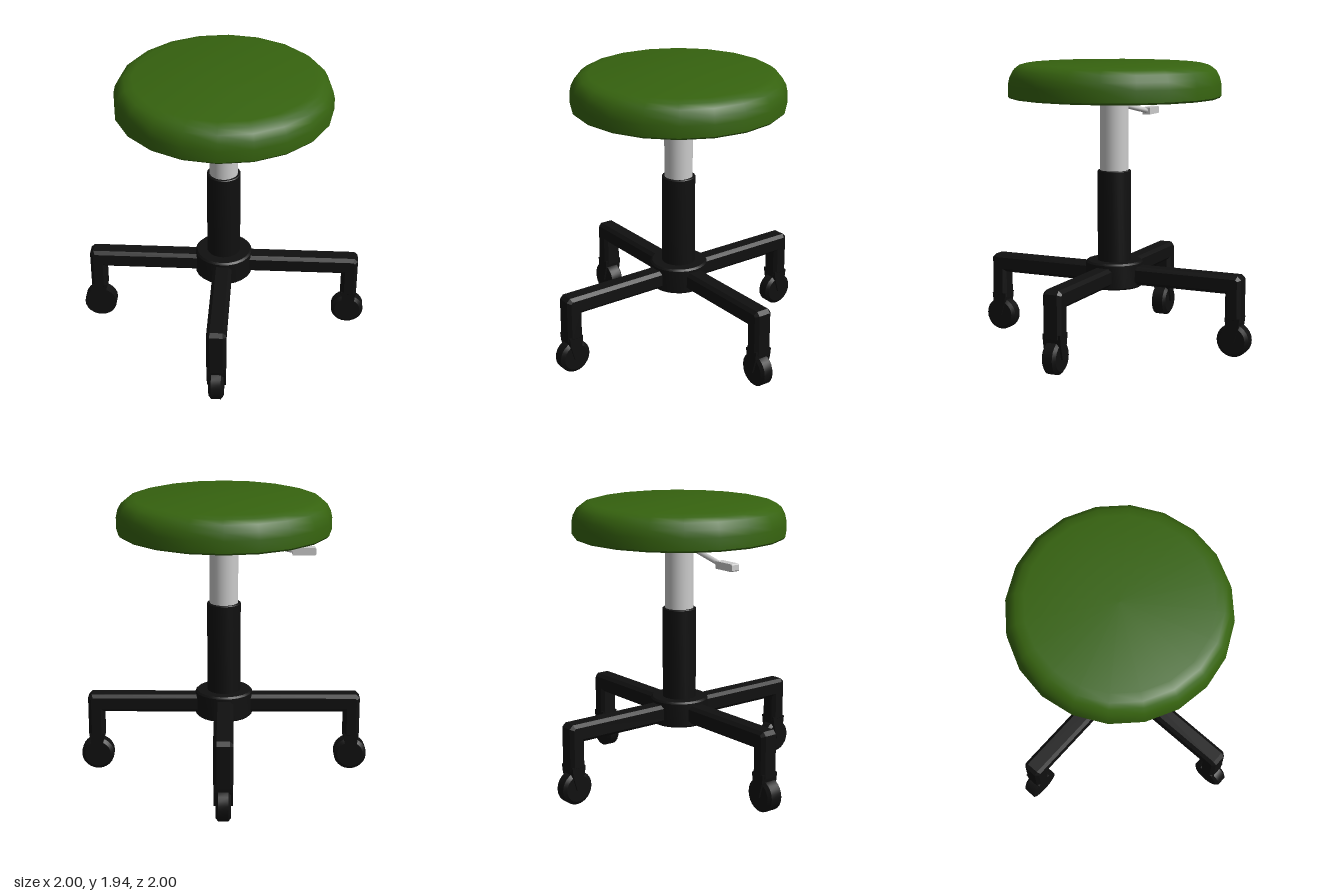
import * as THREE from 'three';
import { toCreasedNormals } from 'three/addons/utils/BufferGeometryUtils.js';

const grey = new THREE.MeshStandardMaterial({ color: 0xcccccc });
const black = new THREE.MeshStandardMaterial({ color: 0x101010 });
const green = new THREE.MeshStandardMaterial({ color: 0x36630f });

function part(name, geometry, material, parent) {
  const mesh = new THREE.Mesh(geometry, material);
  mesh.name = name;
  parent.add(mesh);
  return mesh;
}

// Turned solid from [radius, height] pairs, listed bottom to top
function turned(profile, sides) {
  const points = profile.map(([r, y]) => new THREE.Vector2(r, y));
  return toCreasedNormals(new THREE.LatheGeometry(points, sides), 0.6);
}

// Outline in x/y extruded to a full width centred on z = 0
function slab(outline, width, bevel = 0) {
  const shape = new THREE.Shape(outline.map(([x, y]) => new THREE.Vector2(x, y)));
  const geometry = new THREE.ExtrudeGeometry(shape, {
    depth: width - 2 * bevel, bevelEnabled: bevel > 0, bevelSize: bevel,
    bevelThickness: bevel, bevelOffset: -bevel, bevelSegments: 1,
  });
  return geometry.translate(0, 0, bevel - width / 2);
}

// One leg pointing along +x: bent arm, tapered fork and caster wheel
function makeLeg(squareEdge) {
  const leg = new THREE.Group();
  part('legArm', slab([
    [0.05, 0.43], [0.835, 0.43], [0.835, 0.24], [0.945, 0.24],
    [0.945, 0.53], [0.92, 0.555], [0.05, 0.555],
  ], 0.13, 0.022), black, leg);
  part('casterFork', slab([
    [0.875, 0.105], [0.905, 0.105], [0.935, 0.21], [0.942, 0.27],
    [0.838, 0.27], [0.845, 0.21],
  ], 0.126), black, leg);
  const lower = squareEdge ? [[0.113, -0.05]] : [[0.09, -0.05], [0.113, -0.033]];
  const wheel = part('casterWheel', turned(
    [[0, -0.05], ...lower, [0.113, 0.033], [0.09, 0.05], [0, 0.05]], 24), black, leg);
  wheel.rotation.x = Math.PI / 2;
  wheel.position.set(0.887, 0.113, 0);
  return leg;
}

export function createModel() {
  const stool = new THREE.Group();
  stool.name = 'stool';

  // Padded round seat
  part('seat', turned([
    [0, 1.71], [0.715, 1.71], [0.725, 1.722], [0.725, 1.8], [0.714, 1.85],
    [0.69, 1.895], [0.655, 1.923], [0.6, 1.938], [0, 1.94],
  ], 20), green, stool);

  // Telescoping column and hub
  part('upperColumn', new THREE.CylinderGeometry(0.097, 0.097, 0.52, 24), grey, stool)
    .position.y = 1.455;
  part('lowerColumn', turned([
    [0, 0.5], [0.115, 0.5], [0.115, 1.205], [0.11, 1.21], [0, 1.21],
  ], 24), black, stool);
  part('hub', turned([
    [0, 0.405], [0.185, 0.405], [0.197, 0.417], [0.197, 0.573], [0.185, 0.585], [0, 0.585],
  ], 24), black, stool);

  // Height lever
  const lever = new THREE.Group();
  lever.name = 'heightLever';
  stool.add(lever);
  const path = new THREE.LineCurve3(
    new THREE.Vector3(-0.05, 1.66, 0), new THREE.Vector3(-0.48, 1.578, -0.033));
  part('leverRod', new THREE.TubeGeometry(path, 1, 0.018, 8), grey, lever);
  part('leverHandle', slab([
    [-0.62, 1.56], [-0.613, 1.553], [-0.46, 1.553], [-0.46, 1.603], [-0.613, 1.603], [-0.62, 1.596],
  ], 0.06), grey, lever).position.z = -0.035;

  // Four legs around the hub
  for (let i = 0; i < 4; i++) {
    const leg = makeLeg(i === 2);
    leg.name = 'leg' + (i + 1);
    leg.rotation.y = i * Math.PI / 2;
    stool.add(leg);
  }
  return stool;
}
